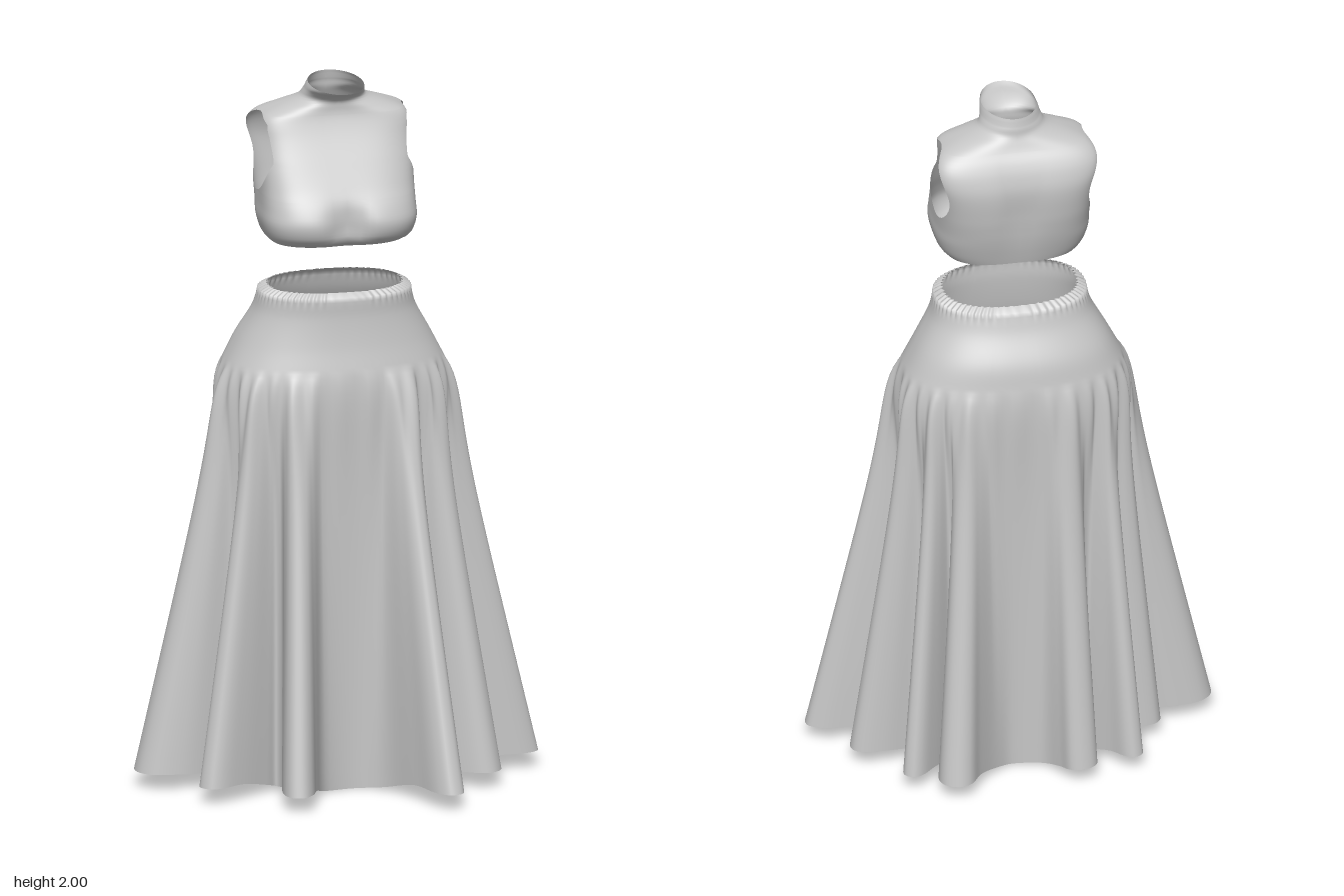
import * as THREE from 'three';
import { mergeVertices } from 'three/addons/utils/BufferGeometryUtils.js';

const fabric = new THREE.MeshStandardMaterial({ color: 0xc6c6c6, side: THREE.DoubleSide });
fabric.name = 'grey fabric';

const spow = (v, p) => Math.sign(v) * Math.abs(v) ** p;

// smooth lookup of a row of values in a table sorted by its first column
function lookup(table, y) {
  let i = 0;
  while (i < table.length - 2 && y > table[i + 1][0]) i++;
  const a = table[i], b = table[i + 1];
  const h = b[0] - a[0], t = Math.min(1, Math.max(0, (y - a[0]) / h));
  const p = table[Math.max(0, i - 1)], n = table[Math.min(table.length - 1, i + 2)];
  return a.map((v, k) => {
    const m0 = ((b[k] - p[k]) / (b[0] - p[0])) * h, m1 = ((n[k] - v) / (n[0] - a[0])) * h;
    return (2 * t ** 3 - 3 * t * t + 1) * v + (t ** 3 - 2 * t * t + t) * m0
      + (3 * t * t - 2 * t ** 3) * b[k] + (t ** 3 - t * t) * m1;
  });
}

// adds a grid of points (rows of equal length) to a surface
function addGrid(surface, rows, flip) {
  const base = surface.pos.length / 3, w = rows[0].length;
  rows.forEach(r => r.forEach(p => surface.pos.push(...p)));
  for (let j = 0; j < rows.length - 1; j++) for (let i = 0; i < w - 1; i++) {
    const a = base + j * w + i, b = a + 1, c = a + w, d = c + 1;
    surface.idx.push(...(flip ? [a, c, b, b, c, d] : [a, b, c, b, d, c]));
  }
}

function finish(surface, name) {
  let g = new THREE.BufferGeometry();
  g.setAttribute('position', new THREE.Float32BufferAttribute(surface.pos, 3));
  g.setIndex(surface.idx);
  g = mergeVertices(g, 1e-4);
  g.computeVertexNormals();
  const mesh = new THREE.Mesh(g, fabric);
  mesh.name = name;
  return mesh;
}

// bodice sections: height, half width, front z, back z, roundness
const TORSO = [
  [1.557, 0.188, 0.105, -0.17, 0.7], [1.575, 0.205, 0.135, -0.176, 0.68],
  [1.62, 0.218, 0.15, -0.19, 0.65], [1.66, 0.217, 0.137, -0.2, 0.62],
  [1.72, 0.217, 0.1, -0.21, 0.56], [1.8, 0.222, 0.058, -0.215, 0.5],
  [1.85, 0.224, 0.033, -0.203, 0.46], [1.885, 0.22, 0.018, -0.186, 0.46],
  [1.91, 0.2, 0.01, -0.168, 0.52], [1.93, 0.155, 0.008, -0.157, 0.75],
  [1.95, 0.1, 0.012, -0.148, 1], [1.97, 0.085, 0.04, -0.145, 1],
  [1.985, 0.08, 0.08, -0.14, 1], [1.994, 0.076, 0.095, -0.138, 1],
];
const HOLE = { y: 1.8, z: -0.08, r: 0.11 };

function bodicePoint(y, phi, side) {
  const [, rx, zf, zb, p] = lookup(TORSO, y);
  let x = rx * Math.abs(Math.sin(phi)) ** p;
  let z = (zf + zb) / 2 + ((zf - zb) / 2) * spow(Math.cos(phi), p);
  // shoulders are broader at the back than at the front
  x *= 1 - 0.65 * (z + 0.08) * Math.exp(-(((y - 1.86) / 0.06) ** 2));
  // hollow between the two sides of the bust, and a shallow one down the spine
  if (z > 0) z -= 0.034 * Math.exp(-((x / 0.05) ** 2) - ((y - 1.62) / 0.055) ** 2);
  else z += 0.012 * Math.exp(-((x / 0.05) ** 2) - ((y - 1.72) / 0.12) ** 2);
  return [side * x, y > 1.98 ? y - 0.045 * z : y, z];
}

// angle at which a bodice section reaches depth z, kept clear of its front and back
function angleAt(y, z) {
  const [, , zf, zb, p] = lookup(TORSO, y);
  const depth = THREE.MathUtils.clamp(z, zb + 0.02, zf - 0.028);
  return Math.acos(spow((depth - (zf + zb) / 2) / ((zf - zb) / 2), 1 / p));
}

function makeBodice() {
  const ys = [];
  const { y: hy, z: hz, r } = HOLE;
  for (let i = 0; i < 12; i++) ys.push(1.557 + ((hy - r - 1.557) * i) / 12);
  for (let i = 0; i <= 24; i++) ys.push(hy - r * Math.cos((Math.PI * i) / 24));
  for (let i = 1; i <= 16; i++) ys.push(hy + r + ((1.994 - hy - r) * i) / 16);
  const surface = { pos: [], idx: [] }, n = 26;
  for (const side of [1, -1]) {
    const front = [], back = [];
    for (const y of ys) {
      // front and back panels part around the armhole
      const half = Math.sqrt(Math.max(0, r * r - (y - hy) ** 2));
      const f = angleAt(y, hz + half * 1.06), b = angleAt(y, hz - half * 0.95);
      const span = (from, to) => Array.from({ length: n + 1 },
        (_, i) => bodicePoint(y, from + ((to - from) * i) / n, side));
      front.push(span(0, f));
      back.push(span(b, Math.PI));
    }
    addGrid(surface, front, side < 0);
    addGrid(surface, back, side < 0);
  }
  return finish(surface, 'bodice');
}

// skirt yoke sections: height, half width, front z, back z
const YOKE = [
  [1.2, 0.308, 0.13, -0.268], [1.27, 0.272, 0.115, -0.252], [1.35, 0.228, 0.105, -0.21],
  [1.4, 0.213, 0.105, -0.192], [1.412, 0.207, 0.102, -0.187], [1.42, 0.188, 0.088, -0.17],
];
// folds: tip x, tip z at the hem, root x, root z at the hip, width
const FOLDS = [
  [0.565, 0.005, 0.31, -0.015, 0.085], [0.41, 0.2, 0.28, 0.08, 0.1],
  [0.24, 0.42, 0.165, 0.14, 0.09], [-0.195, 0.355, -0.14, 0.14, 0.085],
  [-0.425, 0.195, -0.28, 0.085, 0.085], [-0.565, -0.035, -0.31, -0.045, 0.135],
  [-0.4, -0.16, -0.29, -0.145, 0.08], [-0.3, -0.36, -0.235, -0.215, 0.065],
  [-0.145, -0.4, -0.1, -0.26, 0.09], [0.235, -0.425, 0.15, -0.25, 0.1],
  [0.345, -0.345, 0.25, -0.21, 0.065], [0.47, -0.155, 0.3, -0.135, 0.08],
];

function yokePoint(y, a) {
  const [, rx, zf, zb] = lookup(YOKE, y);
  // fine gathers under the waistband
  const k = 1 + 0.018 * Math.sin(60 * a) * THREE.MathUtils.smoothstep(y, 1.385, 1.41);
  return new THREE.Vector3(k * rx * spow(Math.cos(a), 0.85), y,
    (zf + zb) / 2 + k * ((zf - zb) / 2) * spow(Math.sin(a), 0.85));
}

function makeSkirt() {
  const TAU = Math.PI * 2, count = FOLDS.length;
  const angles = FOLDS.map(([, , x, z]) => Math.atan2((z + 0.069) / 0.199, x / 0.308));
  for (let i = 1; i < count; i++) while (angles[i] < angles[i - 1]) angles[i] += TAU;
  const hem = [], hipAngles = [];
  const addHem = (x, z, a) => {
    const reach = Math.hypot(x, z + 0.05);
    hem.push(new THREE.Vector3(x, 0.004 + 0.046 * THREE.MathUtils.smoothstep(reach, 0.17, 0.4), z));
    hipAngles.push(a);
  };
  // hem outline: every fold runs out to its tip and back, with a valley after it
  FOLDS.forEach(([tx, tz, , , w], i) => {
    const a = angles[i];
    const prev = i ? angles[i - 1] : angles[count - 1] - TAU;
    const next = i < count - 1 ? angles[i + 1] : angles[0] + TAU;
    const gm = Math.min(0.55, a - prev), gp = Math.min(0.55, next - a);
    const h = yokePoint(1.2, a);
    const rx = h.x * 0.95, rz = -0.07 + (h.z + 0.07) * 0.95;
    const len = Math.hypot(tx - rx, tz - rz), dx = (tx - rx) / len, dz = (tz - rz) / len;
    const put = (along, across, off) =>
      addHem(rx + dx * len * along - dz * across, rz + dz * len * along + dx * across, a + off);
    // folds widen into the hip as far as their neighbours allow
    const rootM = Math.min(0.85 * w, 0.41 * h.distanceTo(yokePoint(1.2, prev)));
    const rootP = Math.min(0.85 * w, 0.41 * h.distanceTo(yokePoint(1.2, next)));
    put(0.12, -rootM, -0.38 * gm);
    put(0.55, -0.57 * w, -0.26 * gm);
    put(0.88, -0.46 * w, -0.13 * gm);
    put(1, -0.2 * w, -0.04 * gm);
    put(1, 0.2 * w, 0.04 * gp);
    put(0.88, 0.46 * w, 0.13 * gp);
    put(0.55, 0.57 * w, 0.26 * gp);
    put(0.12, rootP, 0.38 * gp);
    const mid = (a + next) / 2, v = yokePoint(1.2, mid);
    addHem(v.x, -0.07 + (v.z + 0.07) * 0.99, mid);
  });
  const curve = new THREE.CatmullRomCurve3(hem, true, 'centripetal');
  const N = hem.length, steps = 5;
  const rows = Array.from({ length: 49 }, () => []);
  for (let j = 0; j <= N * steps; j++) {
    const i = Math.floor(j / steps) % N, f = (j % steps) / steps;
    const a0 = hipAngles[i], a1 = i < N - 1 ? hipAngles[i + 1] : hipAngles[0] + TAU;
    const a = a0 + (a1 - a0) * f;
    const hip = yokePoint(1.2, a), low = curve.getPoint((i + f) / N);
    const out = new THREE.Vector3(hip.x, 0, hip.z + 0.07).normalize();
    for (let r = 0; r <= 18; r++) rows[r].push(yokePoint(1.42 - (0.22 * r) / 18, a).toArray());
    for (let r = 1; r <= 30; r++) {
      // cloth rounds over the hip with soft gathers before it hangs
      const t = (r / 30) ** 1.3, s = t / 0.08;
      const bulge = (0.007 + 0.008 * Math.abs(out.x)) * s * Math.exp(1 - s)
        * (1 + 0.4 * Math.sin(32 * a));
      rows[18 + r].push(hip.clone().lerp(low, t).addScaledVector(out, bulge).toArray());
    }
  }
  const surface = { pos: [], idx: [] };
  addGrid(surface, rows, false);
  return finish(surface, 'pleatedSkirt');
}

export function createModel() {
  const group = new THREE.Group();
  group.name = 'twoPieceDress';
  group.add(makeBodice(), makeSkirt());
  return group;
}
